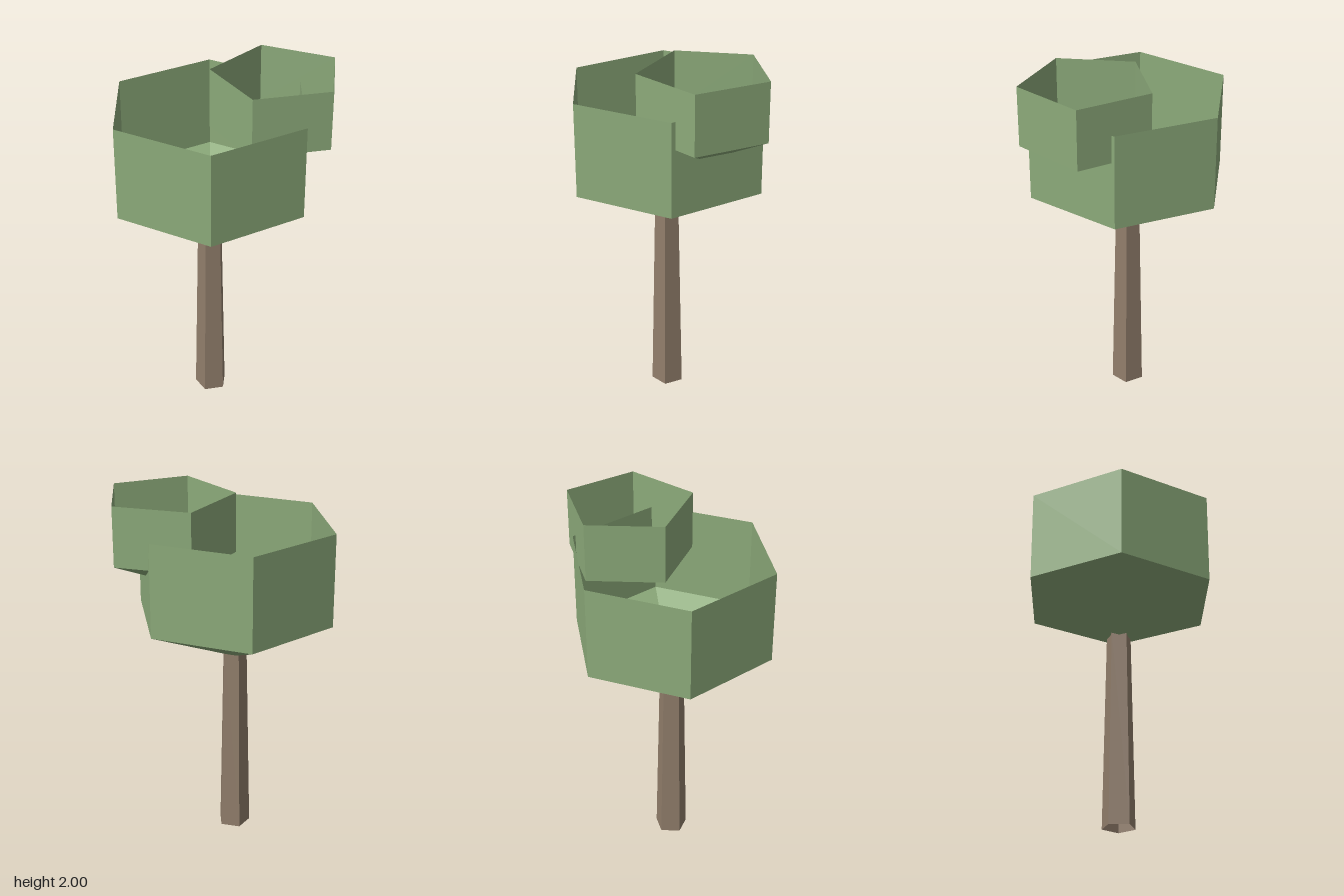
import * as THREE from 'three';

export function createModel() {
  const model = new THREE.Group();
  model.name = 'tree';

  const leaf = new THREE.MeshStandardMaterial({ color: 0x8caa7a, flatShading: true, side: THREE.DoubleSide });
  leaf.name = 'leaf green';
  const bark = new THREE.MeshStandardMaterial({ color: 0x917e6b, flatShading: true, side: THREE.DoubleSide });
  bark.name = 'bark brown';

  // Faceted shell turned about a vertical axis, with one corner pointing to +x
  function addShell(name, profile, sides, material, x, z) {
    const points = profile.map(([r, y]) => new THREE.Vector2(r, y));
    const mesh = new THREE.Mesh(new THREE.LatheGeometry(points, sides, Math.PI / 2), material);
    mesh.name = name;
    mesh.position.set(x, 0, z);
    model.add(mesh);
  }

  // Tapered five-sided trunk, open at the foot and closed on top
  addShell('trunk', [[0.092, 0], [0.069, 1.1], [0, 1.1]], 5, bark, -0.052, -0.01);

  // Crowns: open cups with straight walls above a shallow pointed base
  addShell('mainCrown', [[0, 1.055], [0.558, 1.31], [0.558, 1.826]], 6, leaf, -0.052, -0.01);
  addShell('smallCrown', [[0, 1.517], [0.352, 1.677], [0.352, 2]], 5, leaf, 0.255, 0.157);

  return model;
}
